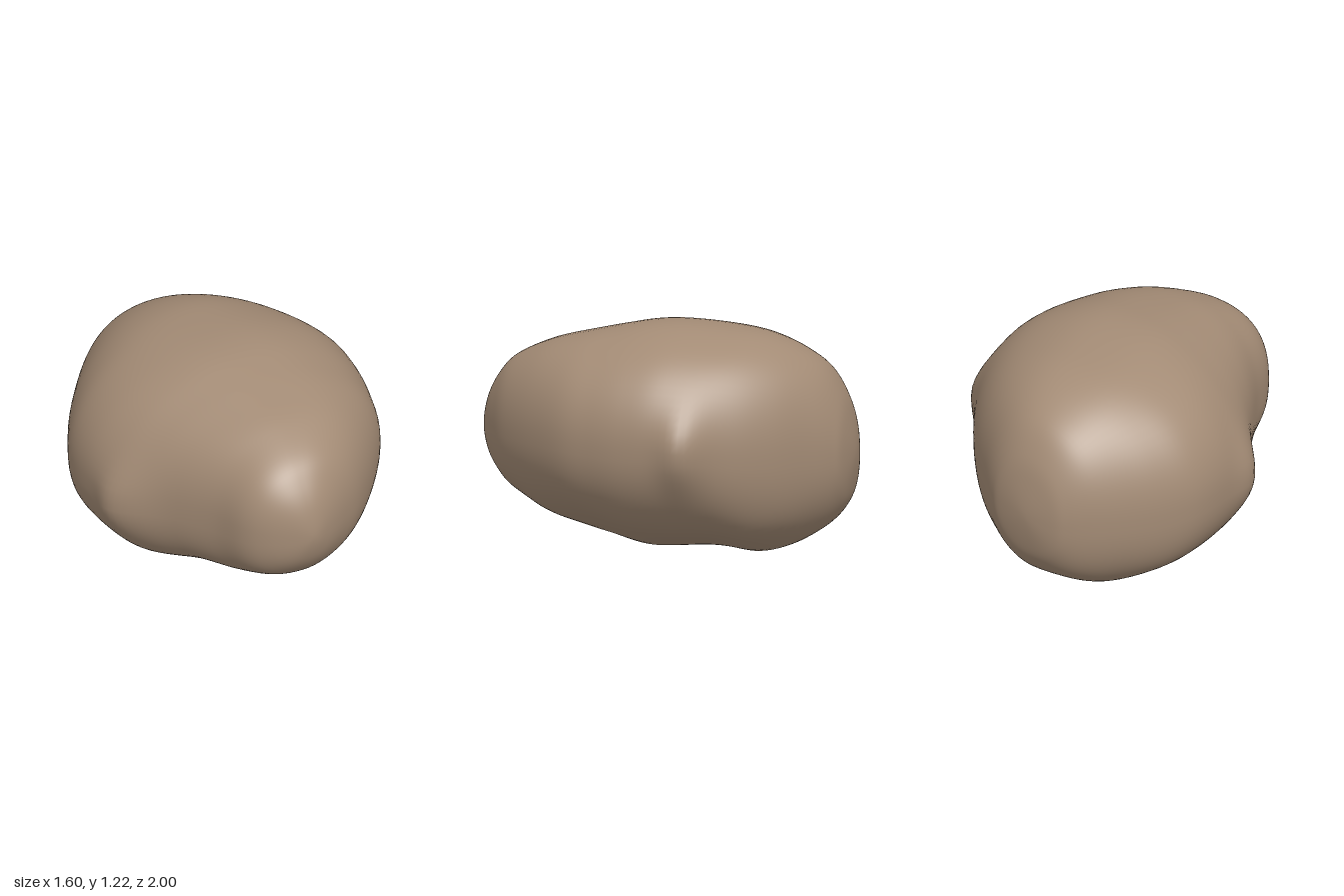
import * as THREE from 'three';

// Boulder cross-sections, back to front: z, right x, left x, bottom y, top y
const sections = [
  [-1.0, -0.12, -0.12, 0.53, 0.53],
  [-0.975, -0.29, 0.06, 0.34, 0.72],
  [-0.93, -0.38, 0.15, 0.23, 0.86],
  [-0.84, -0.48, 0.27, 0.13, 1.0],
  [-0.7, -0.59, 0.44, 0.05, 1.10],
  [-0.53, -0.70, 0.59, 0.015, 1.165],
  [-0.34, -0.78, 0.70, 0.03, 1.2],
  [-0.13, -0.79, 0.765, 0.035, 1.22],
  [0.06, -0.735, 0.765, 0.04, 1.217],
  [0.24, -0.64, 0.73, 0.085, 1.19],
  [0.42, -0.53, 0.67, 0.145, 1.15],
  [0.62, -0.41, 0.535, 0.195, 1.095],
  [0.8, -0.335, 0.37, 0.28, 1.01],
  [0.9, -0.25, 0.23, 0.37, 0.91],
  [0.97, -0.13, 0.10, 0.48, 0.78],
  [1.0, -0.01, -0.01, 0.62, 0.62],
];

// Local knobs on the flanks: centre, push along x, radii along y and z
const knobs = [
  { at: [0.74, 0.63, -0.28], push: 0.075, ry: 0.22, rz: 0.12 },
  { at: [-0.7, 0.5, 0.13], push: -0.08, ry: 0.24, rz: 0.15 },
];

// Smooth interpolation; the ends wrap over so that they stay rounded
const mirrorEnd = ([z, l, r, b, t]) => [z, r, l, t, b];
const padded = [mirrorEnd(sections[1]), ...sections, mirrorEnd(sections.at(-2))];
function sectionAt(u) {
  const i = Math.min(Math.floor(u), sections.length - 2), t = u - i;
  const [p, q, r, s] = padded.slice(i, i + 4);
  return q.map((v, k) => v + 0.5 * t * (r[k] - p[k]
    + t * (2 * p[k] - 5 * v + 4 * r[k] - s[k] + t * (3 * (v - r[k]) + s[k] - p[k]))));
}

const power = (v, n) => Math.sign(v) * Math.pow(Math.abs(v), 2 / n);

// Squareness of each quarter of a section: fuller below and on the steep flank
function squareness(c, s, z) {
  const front = THREE.MathUtils.smoothstep(z, 0.1, 0.6);
  if (c < 0) return s < 0 ? 2.5 : 2.1 + 0.3 * front;
  return s < 0 ? 2.35 - 0.1 * front : 2.1;
}

function boulderGeometry(rings = 90, sides = 80) {
  const pos = [], index = [];
  for (let i = 0; i <= rings; i++) {
    const u = (i / rings) * (sections.length - 1);
    const [z, left, right, bottom, top] = sectionAt(u);
    const cx = (left + right) / 2, w = Math.abs(right - left) / 2;
    const cy = (top + bottom) / 2 - 0.04 * w;
    for (let j = 0; j < sides; j++) {
      const a = (j / sides) * Math.PI * 2, c = Math.cos(a), s = Math.sin(a);
      const n = squareness(c, s, z);
      const px = power(c, n), py = power(s, n);
      let x = cx + w * px;
      let y = cy + (py > 0 ? top - cy : cy - bottom) * py + 0.06 * w * c;
      for (const { at, push, ry, rz } of knobs) {
        if (x * push > 0) {
          x += push * Math.abs(px)
            * Math.exp(-(((y - at[1]) / ry) ** 2) - ((z - at[2]) / rz) ** 2);
        }
      }
      // faint weathering, strongest on the underside
      const lump = Math.sin(9 * x + 4 * z) * Math.sin(7 * x - 8 * z);
      y += lump * py * (py < 0 ? 0.012 : 0.003) * Math.min(1, w * 2);
      pos.push(x, Math.max(y, 0.003), z);
      if (i < rings) {
        const k = (j + 1) % sides, p = i * sides, q = p + sides;
        if (i > 0) index.push(p + j, p + k, q + j);
        else index.push(p + j, q + k, q + j);
        if (i > 0 && i < rings - 1) index.push(p + k, q + k, q + j);
      }
    }
  }
  const geometry = new THREE.BufferGeometry();
  geometry.setAttribute('position', new THREE.Float32BufferAttribute(pos, 3));
  geometry.setIndex(index);
  geometry.computeVertexNormals();
  // both tips share one normal
  const normal = geometry.attributes.normal;
  for (let j = 0; j < sides; j++) {
    normal.setXYZ(j, 0, 0, -1);
    normal.setXYZ(rings * sides + j, 0, 0, 1);
  }
  return geometry;
}

export function createModel() {
  const group = new THREE.Group();
  group.name = 'rock';
  const stone = new THREE.MeshStandardMaterial({ color: 0xa38b75 });
  stone.name = 'brown stone';
  const boulder = new THREE.Mesh(boulderGeometry(), stone);
  boulder.name = 'boulder';
  group.add(boulder);
  return group;
}
